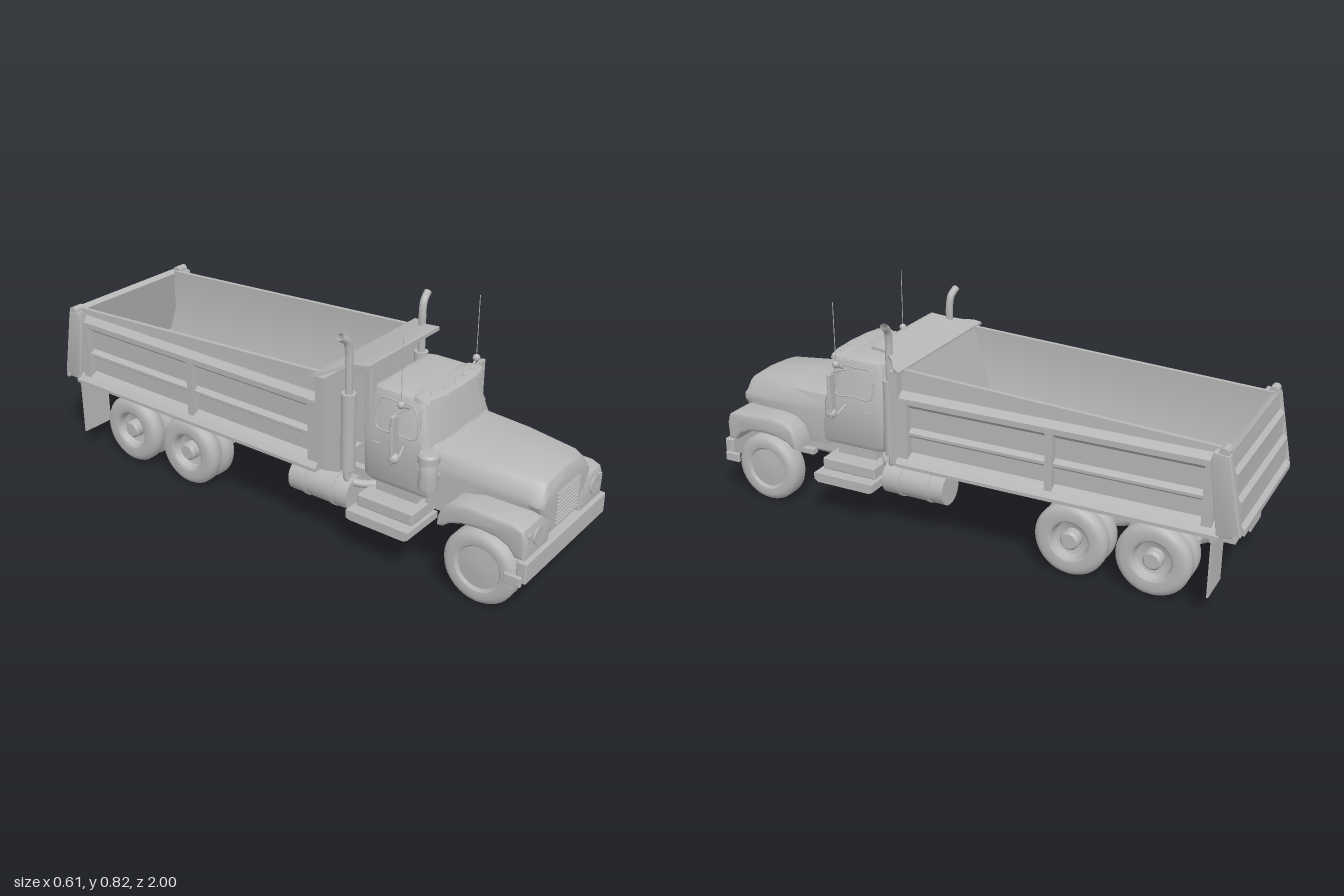
import * as THREE from 'three';
import { mergeVertices, toCreasedNormals } from 'three/addons/utils/BufferGeometryUtils.js';
import { RoundedBoxGeometry } from 'three/addons/geometries/RoundedBoxGeometry.js';

const V = (x, y, z) => new THREE.Vector3(x, y, z);
const crease = (g, a = 0.6) => toCreasedNormals(g, a);

// Reverse triangle order of a non-indexed geometry
function flip(g) {
  for (const at of Object.values(g.attributes)) {
    const n = at.itemSize, a = at.array;
    for (let i = 0; i < a.length; i += n * 3)
      for (let k = 0; k < n; k++) [a[i + k], a[i + 2 * n + k]] = [a[i + 2 * n + k], a[i + k]];
  }
  return g;
}
function mirrored(g) {
  const m = g.index ? g.toNonIndexed() : g.clone();
  const p = m.attributes.position, n = m.attributes.normal;
  for (let i = 0; i < p.count; i++) { p.setX(i, -p.getX(i)); n.setX(i, -n.getX(i)); }
  return flip(m);
}

// Solid through equal-length 2D rings; each section is { t, ring } and place maps (a, b, t) to 3D
function loft(sections, place, angle = 0.6) {
  const tri = [], n = sections[0].ring.length;
  const at = (s, i) => place(...sections[s].ring[i % n], sections[s].t);
  for (let s = 0; s < sections.length - 1; s++)
    for (let i = 0; i < n; i++)
      tri.push(at(s, i), at(s, i + 1), at(s + 1, i + 1), at(s, i), at(s + 1, i + 1), at(s + 1, i));
  const ccw = r => !THREE.ShapeUtils.isClockWise(r);
  for (const s of [0, sections.length - 1]) {
    const pts = sections[s].ring.map(p => new THREE.Vector2(...p));
    const order = pts.map((_, i) => i);
    if (!ccw(pts)) order.reverse();
    const outward = (s === 0) === ccw(pts);
    for (const f of THREE.ShapeUtils.triangulateShape(order.map(i => pts[i]), [])) {
      const [a, b, c] = f.map(k => at(s, order[k]));
      if (outward) tri.push(a, c, b); else tri.push(a, b, c);
    }
  }
  let vol = 0;
  for (let i = 0; i < tri.length; i += 3) vol += tri[i].dot(V(0, 0, 0).crossVectors(tri[i + 1], tri[i + 2]));
  let g = new THREE.BufferGeometry().setFromPoints(tri);
  if (vol < 0) flip(g);
  return crease(g, angle);
}
const alongZ = (a, b, t) => V(a, b, t);
const alongY = (a, b, t) => V(a, t, b);
const both = half => [...half, ...half.filter(p => p[0] !== 0).reverse().map(([x, y]) => [-x, y])];

// Side outline of [z, y] points extruded from x0 to x1
function sideSlab(points, x0, x1, bevel = 0) {
  const shape = new THREE.Shape(points.map(p => new THREE.Vector2(...p)));
  const g = new THREE.ExtrudeGeometry(shape, { depth: x1 - x0 - 2 * bevel, bevelEnabled: bevel > 0,
    bevelSize: bevel, bevelOffset: -bevel, bevelThickness: bevel, bevelSegments: 3 });
  return crease(g.rotateY(-Math.PI / 2).translate(x1 - bevel, 0, 0), 0.7);
}
const box = (x, y, z, w, h, d, r = 0) =>
  (r ? new RoundedBoxGeometry(w, h, d, 2, r) : new THREE.BoxGeometry(w, h, d)).translate(x, y, z);
function cyl(axis, x, y, z, r, len, r2 = r, seg = 24) {
  const g = new THREE.CylinderGeometry(r, r2, len, seg);
  if (axis === 'x') g.rotateZ(-Math.PI / 2);
  if (axis === 'z') g.rotateX(Math.PI / 2);
  return g.translate(x, y, z);
}
const ball = (x, y, z, r, sx = 1) => new THREE.SphereGeometry(r, 20, 14).scale(sx, 1, 1).translate(x, y, z);
const tube = (pts, r, closed = false) =>
  new THREE.TubeGeometry(new THREE.CatmullRomCurve3(pts.map(p => V(...p)), closed, 'centripetal'), 32, r, 10, closed);
// Lathe about the x axis; points are [radius, offset]
const spin = (pts, x, y, z) => crease(new THREE.LatheGeometry(pts.map(p => new THREE.Vector2(...p)), 36)
  .rotateZ(-Math.PI / 2).translate(x, y, z), 0.7);

export function createModel() {
  const truck = new THREE.Group();
  const paint = new THREE.MeshStandardMaterial({ color: 0xb6b6b6, side: THREE.DoubleSide });
  paint.name = 'plain grey';
  const add = (name, g) => { const m = new THREE.Mesh(g, paint); m.name = name; truck.add(m); };
  const pair = (name, g) => { add(name + 'Left', g); add(name + 'Right', mirrored(g)); };

  // Wheels: single in front, twin tyres on both rear axles
  const tyre = (w, r) => [[r, -w], [0.105, -w - 0.004], [0.122, -w + 0.004], [0.13, -w + 0.016],
    [0.13, w - 0.016], [0.122, w - 0.004], [0.105, w + 0.004], [r, w]];
  pair('frontTyre', spin(tyre(0.04, 0.082), 0.216, 0.13, 0.82));
  pair('frontRim', spin([[0, -0.035], [0.082, -0.035], [0.082, 0.036], [0.074, 0.03], [0.03, 0.034], [0, 0.036]], 0.216, 0.13, 0.82));
  for (const z of [-0.415, -0.705]) {
    pair('rearOuterTyre', spin(tyre(0.03, 0.075), 0.226, 0.13, z));
    pair('rearInnerTyre', spin(tyre(0.03, 0.075), 0.157, 0.13, z));
    pair('rearRim', spin([[0, -0.09], [0.075, -0.09], [0.075, 0.03], [0.068, 0.026], [0.06, 0], [0.034, -0.008],
      [0.034, 0.022], [0.026, 0.03], [0, 0.03]], 0.226, 0.13, z));
    add('rearAxle', cyl('x', 0, 0.135, z, 0.026, 0.34));
    add('differential', ball(0, 0.14, z, 0.062, 1.25));
    add('differentialNose', cyl('z', 0, 0.15, z + 0.07, 0.025, 0.08, 0.045));
  }
  add('frontAxle', box(0, 0.14, 0.82, 0.38, 0.028, 0.04));

  // Chassis
  pair('frameRail', box(0.09, 0.205, 0.02, 0.028, 0.05, 1.86));
  for (const z of [0.9, 0.55, 0.2, -0.05, -0.25, -0.56, -0.85]) add('crossMember', box(0, 0.205, z, 0.17, 0.04, 0.03));
  pair('frontSpring', box(0.105, 0.165, 0.82, 0.03, 0.02, 0.24));
  pair('rearSpring', sideSlab([[-0.3, 0.15], [-0.56, 0.18], [-0.82, 0.15], [-0.82, 0.17], [-0.56, 0.21], [-0.3, 0.17]], 0.095, 0.122));
  add('driveShaft', cyl('z', 0, 0.17, 0.03, 0.017, 0.84));
  add('gearbox', cyl('z', 0, 0.2, 0.48, 0.045, 0.2, 0.065));
  add('engine', box(0, 0.21, 0.75, 0.14, 0.13, 0.32, 0.02));
  pair('fuelTank', cyl('z', 0.195, 0.19, 0.188, 0.06, 0.245, 0.06, 32));
  for (const z of [0.13, 0.245]) pair('tankStrap', cyl('z', 0.195, 0.19, z, 0.063, 0.014));
  add('bumper', box(0, 0.187, 0.977, 0.54, 0.076, 0.036, 0.006));
  pair('bumperEnd', box(0.278, 0.16, 0.955, 0.014, 0.035, 0.06, 0.004));

  // Cab steps
  pair('lowerStep', sideSlab([[0.335, 0.15], [0.35, 0.145], [0.565, 0.145], [0.58, 0.155], [0.58, 0.18], [0.335, 0.18]], 0.11, 0.287));
  pair('upperStep', box(0.175, 0.203, 0.458, 0.14, 0.045, 0.22, 0.006));
  pair('cabSill', box(0.15, 0.24, 0.46, 0.06, 0.04, 0.16));

  // Hood, tapering towards the grille
  const hood = (t, w0, w1, wt, y0, ys, yt) => ({ t, ring: both([[0, y0], [w0, y0], [w1, ys], [w1 - 0.004, ys + 0.02],
    [wt + 0.01, yt - 0.014], [wt - 0.01, yt - 0.003], [0, yt + 0.004]]) });
  add('hood', loft([hood(0.58, 0.19, 0.192, 0.165, 0.25, 0.38, 0.453), hood(0.75, 0.17, 0.182, 0.15, 0.25, 0.37, 0.45),
    hood(0.93, 0.115, 0.168, 0.125, 0.25, 0.36, 0.44), hood(0.965, 0.1, 0.163, 0.115, 0.25, 0.355, 0.428),
    hood(0.978, 0.09, 0.152, 0.1, 0.25, 0.352, 0.405)], alongZ, 0.7));
  add('grillePanel', box(0, 0.318, 0.978, 0.155, 0.116, 0.006));
  for (let i = 0; i < 9; i++) add('grilleSlat', box(0, 0.266 + i * 0.013, 0.983, 0.148, 0.005, 0.009).rotateX(0));

  // Front fenders with wheel arch
  pair('frontFender', sideSlab([[0.98, 0.225], [0.982, 0.29], [0.97, 0.325], [0.94, 0.338], [0.78, 0.343], [0.72, 0.335],
    [0.685, 0.31], [0.668, 0.265], [0.668, 0.235], [0.69, 0.238], [0.715, 0.258], [0.76, 0.272], [0.82, 0.277],
    [0.88, 0.272], [0.92, 0.255], [0.945, 0.225]], 0.1, 0.264, 0.012));
  pair('headlight', cyl('z', 0.19, 0.286, 0.983, 0.025, 0.008));
  pair('headlightRing', new THREE.TorusGeometry(0.026, 0.004, 8, 28).translate(0.19, 0.286, 0.984));
  pair('turnSignal', box(0.237, 0.292, 0.98, 0.018, 0.03, 0.008));

  // Cab with bowed front
  const cab = (t, w, zb, zf, bow) => ({ t, ring: both([[0, zb], [w - 0.025, zb], [w - 0.007, zb + 0.008], [w, zb + 0.03],
    [w, zf - bow], [w - 0.012, zf - bow * 0.55], [w * 0.6, zf - bow * 0.15], [0, zf]]) });
  add('cab', loft([cab(0.265, 0.187, 0.345, 0.6, 0.01), cab(0.285, 0.197, 0.333, 0.605, 0.015), cab(0.43, 0.196, 0.33, 0.602, 0.03),
    cab(0.46, 0.19, 0.332, 0.597, 0.04), cab(0.57, 0.173, 0.342, 0.572, 0.045), cab(0.592, 0.166, 0.35, 0.567, 0.05),
    cab(0.603, 0.145, 0.37, 0.55, 0.05)], alongY, 0.7));
  add('sunVisor', loft([cab(0.586, 0.176, 0.5, 0.587, 0.04), cab(0.598, 0.172, 0.5, 0.584, 0.04), cab(0.604, 0.15, 0.5, 0.565, 0.04)], alongY));
  add('windshieldFrame', tube([[-0.172, 0.45, 0.562], [-0.1, 0.446, 0.595], [0, 0.444, 0.601], [0.1, 0.446, 0.595], [0.172, 0.45, 0.562],
    [0.162, 0.572, 0.538], [0.1, 0.584, 0.563], [0, 0.586, 0.57], [-0.1, 0.584, 0.563], [-0.162, 0.572, 0.538]], 0.004, true));
  const sideX = y => 0.191 - (y - 0.46) * 0.155;
  const onDoor = (z, y) => [sideX(y), y, z];
  pair('doorWindowFrame', tube([onDoor(0.385, 0.465), onDoor(0.46, 0.463), onDoor(0.535, 0.465), onDoor(0.515, 0.565),
    onDoor(0.45, 0.568), onDoor(0.39, 0.565)], 0.003, true));
  pair('doorHandle', box(0.198, 0.41, 0.39, 0.008, 0.01, 0.03));
  for (const x of [-0.12, -0.06, 0, 0.06, 0.12]) add('markerLight', ball(x, 0.604, 0.56 - Math.abs(x) * 0.12, 0.007));
  pair('wiper', box(0.06, 0.455, 0.598, 0.07, 0.003, 0.004));

  // Mirrors and aerials
  pair('mirror', box(0.264, 0.487, 0.5, 0.034, 0.168, 0.014, 0.005));
  pair('mirrorBracket', tube([[0.185, 0.56, 0.49], [0.23, 0.567, 0.5], [0.268, 0.57, 0.5], [0.268, 0.4, 0.5], [0.235, 0.405, 0.5], [0.19, 0.43, 0.49]], 0.004));
  pair('spotMirror', ball(0.264, 0.42, 0.503, 0.019));
  pair('aerialBase', ball(0.227, 0.592, 0.5, 0.013));
  pair('aerial', cyl('y', 0.227, 0.69, 0.5, 0.0015, 0.255, 0.0015, 6));
  pair('aerialMount', tube([[0.18, 0.56, 0.5], [0.205, 0.575, 0.5], [0.227, 0.585, 0.5]], 0.004));

  // Air cleaner on the right of the hood
  add('airCleaner', crease(new THREE.LatheGeometry([[0, 0.335], [0.032, 0.335], [0.034, 0.345], [0.03, 0.39], [0.03, 0.41], [0.026, 0.418],
    [0.026, 0.425], [0.036, 0.43], [0.036, 0.452], [0.03, 0.46], [0, 0.462]].map(p => new THREE.Vector2(...p)), 28).translate(-0.228, 0, 0.61), 0.6));
  add('airCleanerDuct', cyl('x', -0.19, 0.365, 0.61, 0.02, 0.06));

  // Exhaust stacks
  pair('muffler', cyl('y', 0.213, 0.425, 0.288, 0.025, 0.28));
  pair('exhaustStack', tube([[0.213, 0.56, 0.288], [0.213, 0.66, 0.288], [0.213, 0.71, 0.287], [0.222, 0.748, 0.285], [0.253, 0.772, 0.28]], 0.0135));
  pair('exhaustPipe', tube([[0.213, 0.29, 0.288], [0.213, 0.25, 0.288], [0.19, 0.23, 0.32], [0.1, 0.22, 0.4]], 0.014));
  pair('exhaustBracket', box(0.19, 0.36, 0.288, 0.06, 0.012, 0.04));

  // Dump body: ribbed side walls, floor and subframe
  const wall = (t, top) => ({ t, ring: [[0.305, 0.288], [0.305, 0.3], [0.287, 0.322], [0.262, 0.335], [0.262, 0.392], [0.28, 0.405], [0.28, 0.415],
    [0.262, 0.428], [0.262, 0.5], [0.288, 0.52], [0.288, 0.54], [0.264, 0.56], [0.262, top], [0.246, top], [0.246, 0.42], [0.2, 0.315], [0.2, 0.288]] });
  pair('bodySide', loft([wall(0.22, 0.635), wall(-0.93, 0.578)], alongZ, 0.5));
  for (const [z, d] of [[0.2, 0.045], [-0.35, 0.026], [-0.885, 0.035]]) pair('sidePost', box(0.273, 0.42, z, 0.034, 0.23, d));
  add('bodyFloor', box(0, 0.297, -0.37, 0.42, 0.03, 1.18));
  pair('bodySubframe', box(0.12, 0.262, -0.34, 0.05, 0.05, 1.14));
  for (let i = 0; i < 7; i++) add('floorBeam', box(0, 0.272, 0.1 - i * 0.16, 0.5, 0.025, 0.025));

  // Headboard, sloping front wall and cab guard
  add('headboard', loft([0.21, 0.245].map(t => ({ t, ring: both([[0, 0.25], [0.2, 0.25], [0.29, 0.3], [0.29, 0.632], [0, 0.632]]) })), alongZ));
  add('innerFrontWall', sideSlab([[0.215, 0.31], [0.215, 0.63], [0.2, 0.63], [0.11, 0.31]], -0.246, 0.246));
  const guardEdge = both([[0, 0.2], [0.3, 0.2], [0.29, 0.225], [0.25, 0.255], [0.212, 0.3], [0.207, 0.36], [0, 0.36]]);
  const guardY = z => 0.632 + Math.min(1, (z - 0.2) / 0.12) * 0.04;
  add('cabGuard', loft([-0.005, 0.005].map(t => ({ t, ring: guardEdge })), (x, z, t) => V(x, guardY(z) + t, z)));
  add('cabGuardLip', box(0, 0.67, 0.357, 0.414, 0.014, 0.008));
  for (const x of [0.04, 0.15]) pair('cabGuardGusset', sideSlab([[0.245, 0.58], [0.345, 0.67], [0.245, 0.645]], x - 0.003, x + 0.003));
  add('hoistCover', box(0, 0.43, 0.255, 0.12, 0.36, 0.03, 0.008));

  // Tailgate with three pressed bands, corner posts and latch bar
  const gz = y => -0.935 - (0.57 - y) * 0.2;
  const gate = [[gz(0.57) + 0.012, 0.57], [gz(0.305) + 0.012, 0.305]];
  for (const y of [0.305, 0.395, 0.485]) gate.push([gz(y) - 0.014, y], [gz(y) - 0.014, y + 0.02], [gz(y) + 0.002, y + 0.032], [gz(y) + 0.004, y + 0.075]);
  gate.push([gz(0.57) - 0.012, 0.565], [gz(0.57) - 0.012, 0.58]);
  add('tailgate', sideSlab(gate, -0.272, 0.272));
  pair('tailgatePost', sideSlab([[-0.885, 0.545], [-0.895, 0.578], [-0.945, 0.572], [-0.996, 0.31], [-0.96, 0.3], [-0.92, 0.3]], 0.268, 0.302, 0.004));
  pair('tailgateHinge', cyl('x', 0.278, 0.578, -0.925, 0.016, 0.045));
  add('tailgateLatchBar', cyl('x', 0, 0.304, -0.98, 0.009, 0.61));
  add('rearSill', box(0, 0.275, -0.95, 0.5, 0.035, 0.04));

  // Mud flaps and tail lights
  pair('mudFlap', box(0.24, 0.185, -0.91, 0.13, 0.21, 0.006));
  pair('flapBracket', box(0.2, 0.28, -0.91, 0.2, 0.015, 0.02));
  pair('tailLight', cyl('z', 0.13, 0.245, -0.945, 0.016, 0.02));
  return truck;
}
